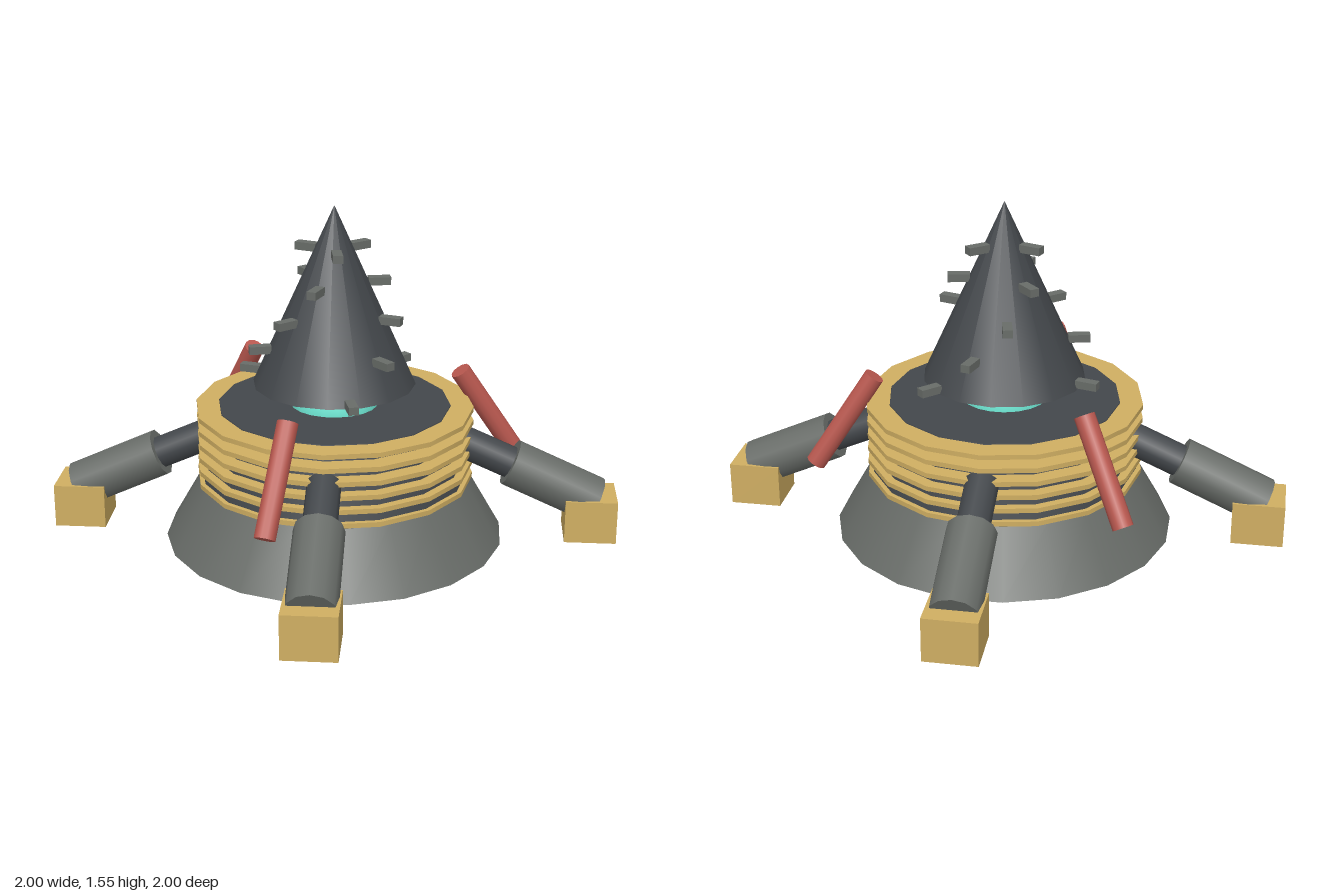
import * as THREE from 'three';

const mat = (color) => new THREE.MeshStandardMaterial({ color });

export function createModel() {
  const model = new THREE.Group();
  const grey = mat(0x686c68), dark = mat(0x43474b), gold = mat(0xcfae62);
  const red = mat(0xb9584f), glow = mat(0x70ead6);

  const add = (name, geometry, material, x = 0, y = 0, z = 0, parent = model) => {
    const mesh = new THREE.Mesh(geometry, material);
    mesh.name = name;
    mesh.position.set(x, y, z);
    parent.add(mesh);
    return mesh;
  };

  // Cylinder between two points given as [distance from the axis, height]
  const rod = (name, [r0, y0], [r1, y1], radius, material, parent) => {
    const a = new THREE.Vector3(r0, y0, 0), b = new THREE.Vector3(r1, y1, 0);
    const mesh = add(name, new THREE.CylinderGeometry(radius, radius, a.distanceTo(b), 12), material, 0, 0, 0, parent);
    mesh.position.copy(a).lerp(b, 0.5);
    mesh.quaternion.setFromUnitVectors(new THREE.Vector3(0, 1, 0), b.sub(a).normalize());
  };

  // Group whose local +x points outward at an angle around the axis
  const spoke = (name, angle) => {
    const group = new THREE.Group();
    group.name = name;
    group.rotation.y = angle;
    model.add(group);
    return group;
  };

  // Flared base, tapered body and the flat coil rings around it
  add('base', new THREE.CylinderGeometry(0.62, 0.78, 0.28, 20), grey, 0, 0.14, 0);
  add('body', new THREE.CylinderGeometry(0.53, 0.62, 0.35, 16), dark, 0, 0.455, 0);
  for (let i = 0; i < 6; i++) {
    add('coilRing', new THREE.CylinderGeometry(0.635, 0.635, 0.022, 16), gold, 0, 0.295 + i * 0.064, 0);
  }

  // Glowing core under the drill cone
  add('core', new THREE.SphereGeometry(0.2, 20, 8, 0, Math.PI * 2, 0, Math.PI / 2), glow, 0, 0.63, 0);
  add('drillCone', new THREE.ConeGeometry(0.37, 0.82, 16), dark, 0, 1.14, 0);

  // Cutting teeth: five levels of three, each level turned a little further
  const toothGeometry = new THREE.BoxGeometry(0.1, 0.036, 0.044);
  for (let level = 0; level < 5; level++) {
    for (let i = 0; i < 3; i++) {
      const tooth = spoke('drillTooth', level * 0.5 + i * Math.PI * 2 / 3);
      add('tooth', toothGeometry, grey, 0.405 - level * 0.0675, 0.752 + level * 0.15, 0, tooth);
    }
  }

  // Four diagonal piston legs with block feet
  for (let i = 0; i < 4; i++) {
    const leg = spoke('leg', Math.PI / 4 + i * Math.PI / 2);
    rod('pistonRod', [0.57, 0.465], [0.9, 0.32], 0.075, dark, leg);
    rod('pistonSleeve', [0.81, 0.36], [1.2, 0.185], 0.11, grey, leg);
    add('foot', new THREE.BoxGeometry(0.235, 0.2, 0.235), gold, 1.18, 0.12, 0, leg);
  }

  // Three leaning struts
  for (let i = 0; i < 3; i++) {
    const strut = spoke('strut', Math.PI / 2 + i * Math.PI * 2 / 3);
    rod('strutTube', [0.59, 0.745], [0.87, 0.325], 0.047, red, strut);
  }

  return model;
}
